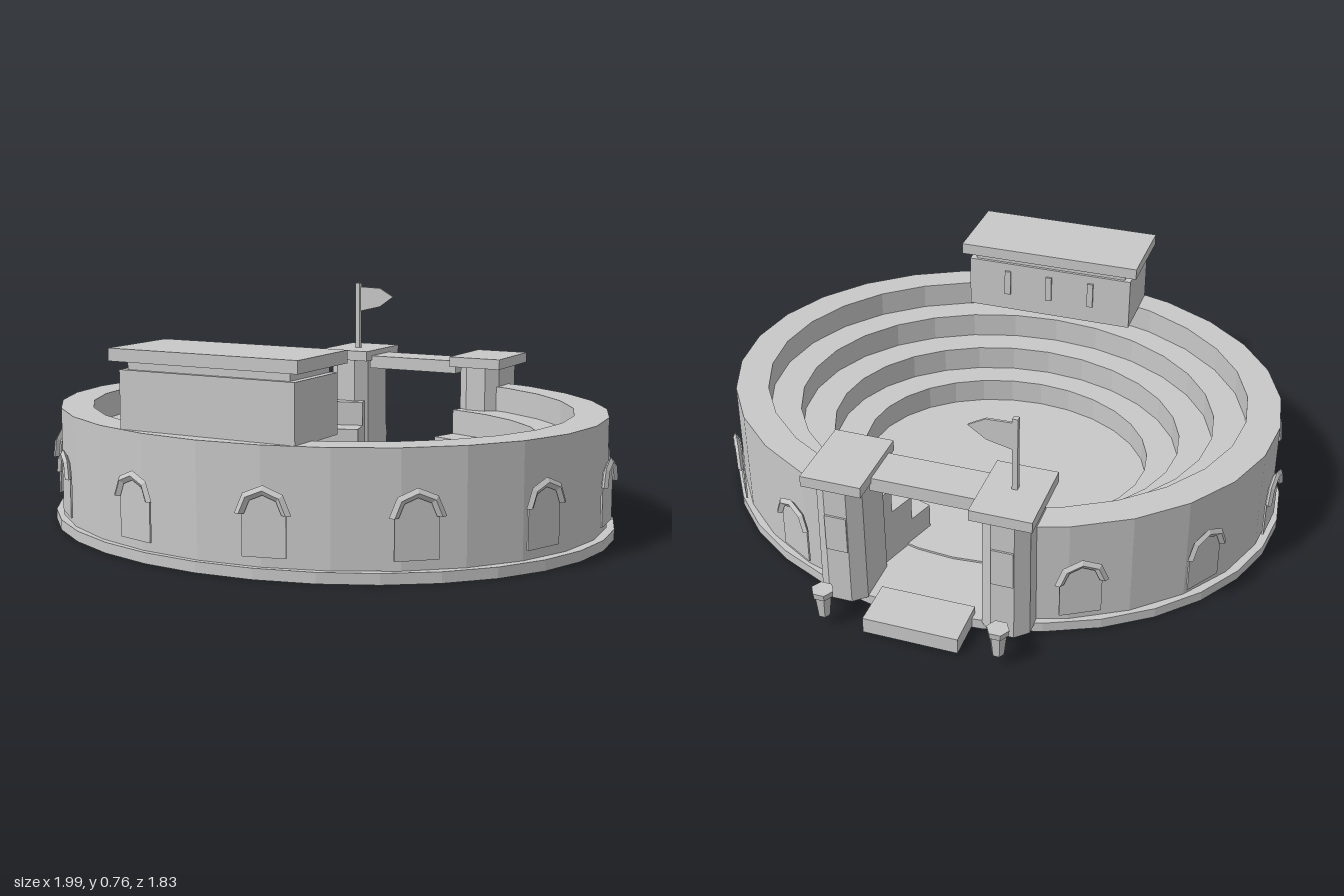
import * as THREE from 'three';

export function createModel() {
  const root = new THREE.Group();
  const stone = new THREE.MeshStandardMaterial({ color: 0xc8c8c8, flatShading: true, side: THREE.DoubleSide });
  stone.name = 'grey stone';
  const CZ = 0.062; // centre of the oval in z
  const OVAL = 0.856; // depth of the oval relative to its width

  function add(name, geo, x = 0, y = 0, z = 0, parent = root) {
    const m = new THREE.Mesh(geo, stone);
    m.name = name;
    m.position.set(x, y, z);
    parent.add(m);
    return m;
  }
  // box given by its extents
  function block(name, x0, x1, y0, y1, z0, z1, parent = root) {
    return add(name, new THREE.BoxGeometry(x1 - x0, y1 - y0, z1 - z0),
      (x0 + x1) / 2, (y0 + y1) / 2, (z0 + z1) / 2, parent);
  }
  // oval slab, open underneath
  function ovalLid(name, rx, rz, y0, y1) {
    const g = new THREE.LatheGeometry([new THREE.Vector2(1, y0), new THREE.Vector2(1, y1), new THREE.Vector2(0, y1)], 32);
    g.scale(rx, 1, rz);
    add(name, g, 0, 0, CZ);
  }

  ovalLid('base', 0.987, 0.836, 0, 0.035);
  ovalLid('arenaFloor', 0.65, 0.559, 0.036, 0.043);

  // stepped oval wall, open at the back for the gate
  const radii = [0.96, 0.845, 0.735, 0.62, 0.51];
  const heights = [0.4, 0.31, 0.22, 0.13];
  const floorY = 0.036;
  function stands() {
    const pos = [];
    const point = (t, r, y) => [r * Math.sin(t), y, CZ + OVAL * r * Math.cos(t)];
    const quad = (a, b, c, d) => pos.push(...a, ...b, ...c, ...a, ...c, ...d);
    const profile = [[radii[0], floorY]];
    heights.forEach((h, k) => profile.push([radii[k], h], [radii[k + 1], h]));
    profile.push([radii[4], floorY]);
    const n = 26, end = THREE.MathUtils.degToRad(165);
    for (let i = 0; i < n; i++) {
      const t0 = -end + 2 * end * i / n, t1 = -end + 2 * end * (i + 1) / n;
      for (let j = 0; j < profile.length - 1; j++) {
        const p = profile[j], q = profile[j + 1];
        quad(point(t0, ...p), point(t1, ...p), point(t1, ...q), point(t0, ...q));
      }
    }
    // cut faces at the gate
    heights.forEach((h, k) => {
      const corners = t => [point(t, radii[k], floorY), point(t, radii[k + 1], floorY),
        point(t, radii[k + 1], h), point(t, radii[k], h)];
      quad(...corners(end));
      quad(...corners(-end).reverse());
    });
    const g = new THREE.BufferGeometry();
    g.setAttribute('position', new THREE.Float32BufferAttribute(pos, 3));
    g.computeVertexNormals();
    return g;
  }
  add('steppedWall', stands());

  // arched niches around the outside
  const nicheShape = new THREE.Shape();
  nicheShape.moveTo(-0.068, 0.07);
  nicheShape.lineTo(0.068, 0.07);
  for (let i = 0; i <= 4; i++) {
    const a = Math.PI * i / 4;
    nicheShape.lineTo(0.068 * Math.cos(a), 0.2 + 0.068 * Math.sin(a));
  }
  const niche = new THREE.ExtrudeGeometry(nicheShape, { depth: 0.006, bevelEnabled: false });
  const hood = new THREE.TorusGeometry(0.072, 0.015, 4, 4, Math.PI);
  hood.scale(1, 1, 0.65);
  for (let i = 0; i < 12; i++) {
    const t = THREE.MathUtils.degToRad(-150 + i * 300 / 11);
    const arch = new THREE.Group();
    arch.name = 'arch';
    arch.position.set(0.981 * Math.sin(t), 0, CZ + 0.847 * Math.cos(t));
    arch.rotation.y = t;
    add('archPanel', niche, 0, 0, -0.014, arch);
    add('archHood', hood, 0, 0.2, 0, arch);
    root.add(arch);
  }

  // square tower column with chamfered corners, slightly wider at the foot
  const column = new THREE.CylinderGeometry(1, 1, 0.44, 8);
  column.rotateY(Math.PI / 8);
  const cp = column.attributes.position;
  for (let i = 0; i < cp.count; i++) {
    const x = cp.getX(i), z = cp.getZ(i), k = cp.getY(i) < 0 ? 1.03 : 1;
    cp.setX(i, k * Math.sign(x) * (Math.abs(x) > 0.6 ? 0.077 : 0.037));
    cp.setZ(i, k * Math.sign(z) * (Math.abs(z) > 0.6 ? 0.115 : 0.078));
  }

  // gate towers with caps, panels and planters
  for (const s of [-1, 1]) {
    const x = 0.273 * s;
    const tower = new THREE.Group();
    tower.name = 'gateTower';
    root.add(tower);
    add('towerColumn', column, x, 0.25, -0.68, tower);
    block('towerCap', x - 0.1, x + 0.1, 0.47, 0.507, -0.82, -0.547, tower);
    block('towerPanel', x - 0.036, x + 0.036, 0.23, 0.36, -0.802, -0.794, tower);
    const planter = new THREE.Group();
    planter.name = 'planter';
    planter.position.set(0.29 * s, 0, -0.89);
    planter.rotation.y = Math.PI / 6;
    root.add(planter);
    add('planterBody', new THREE.CylinderGeometry(0.029, 0.02, 0.08, 6), 0, 0.08, 0, planter);
    add('planterRim', new THREE.CylinderGeometry(0.037, 0.034, 0.022, 6), 0, 0.129, 0, planter);
  }
  block('gateBeam', -0.18, 0.18, 0.44, 0.487, -0.735, -0.59);

  // entrance step, open underneath
  const step = new THREE.Group();
  step.name = 'entranceStep';
  root.add(step);
  block('stepTop', -0.16, 0.157, 0.053, 0.06, -0.895, -0.73, step);
  block('stepBack', -0.16, 0.157, 0.005, 0.053, -0.895, -0.889, step);
  block('stepFront', -0.16, 0.157, 0.005, 0.053, -0.736, -0.73, step);
  block('stepRight', -0.16, -0.154, 0.005, 0.053, -0.889, -0.736, step);
  block('stepLeft', 0.151, 0.157, 0.005, 0.053, -0.889, -0.736, step);

  // flag on the right tower
  block('flagPole', -0.281, -0.263, 0.507, 0.76, -0.677, -0.659);
  const flag = new THREE.Shape([[0, 0.65], [0.085, 0.67], [0.142, 0.71], [0.085, 0.742], [0, 0.745]]
    .map(p => new THREE.Vector2(...p)));
  add('flag', new THREE.ExtrudeGeometry(flag, { depth: 0.008, bevelEnabled: false }), -0.265, 0, -0.676);

  // spectator box over the front wall
  block('boxBody', -0.31, 0.31, 0.395, 0.585, 0.575, 0.833);
  block('boxNeck', -0.287, 0.287, 0.585, 0.613, 0.585, 0.82);
  block('boxRoof', -0.335, 0.333, 0.612, 0.652, 0.553, 0.854);
  for (const x of [-0.16, 0, 0.16]) block('boxWindow', x - 0.011, x + 0.011, 0.46, 0.555, 0.567, 0.576);

  return root;
}
